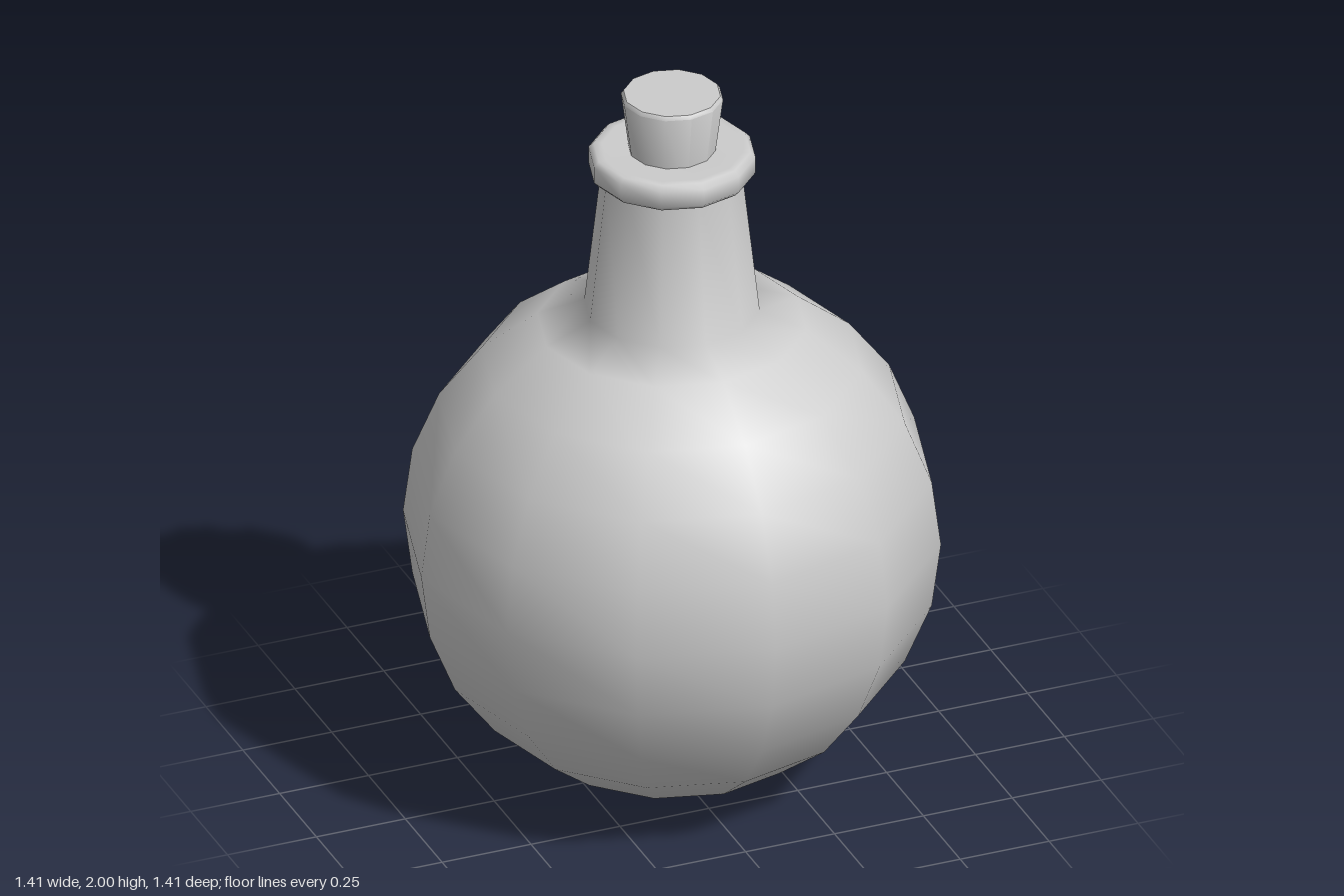
import * as THREE from 'three';
import { toCreasedNormals } from 'three/addons/utils/BufferGeometryUtils.js';

const SIDES = 12;
const material = new THREE.MeshStandardMaterial({ color: 0xcccccc });

// Twelve-sided turned part from [radius, height] pairs, listed bottom to top
function turned(name, profile, crease) {
  const points = profile.map(([r, y]) => new THREE.Vector2(r, y));
  let geometry = new THREE.LatheGeometry(points, SIDES);
  if (crease) geometry = toCreasedNormals(geometry, crease);
  const mesh = new THREE.Mesh(geometry, material);
  mesh.name = name;
  return mesh;
}

export function createModel() {
  const group = new THREE.Group();
  group.name = 'flask';

  // Round body in 15 degree steps, flowing into the tapered neck
  const radius = 0.705;
  const body = [];
  for (let i = 0; i <= 10; i++) {
    const a = (i * Math.PI) / 12;
    body.push([radius * Math.sin(a), radius * (1 - Math.cos(a)) + 0.005 * (i / 10)]);
  }
  body[0][0] = 0;
  body.push([0.23, 1.37], [0.185, 1.77]);
  group.add(turned('bodyAndNeck', body));

  // Rounded lip, closed around the stopper
  group.add(turned('lip', [
    [0.17, 1.765], [0.206, 1.765], [0.219, 1.779], [0.219, 1.825],
    [0.206, 1.839], [0.185, 1.839], [0.1, 1.837],
  ], 0.9));

  // Stopper widening upwards, with a slim bevel on top
  group.add(turned('stopper', [
    [0, 1.75], [0.103, 1.75], [0.134, 1.99], [0.127, 2], [0, 2],
  ], 0.8));

  return group;
}
